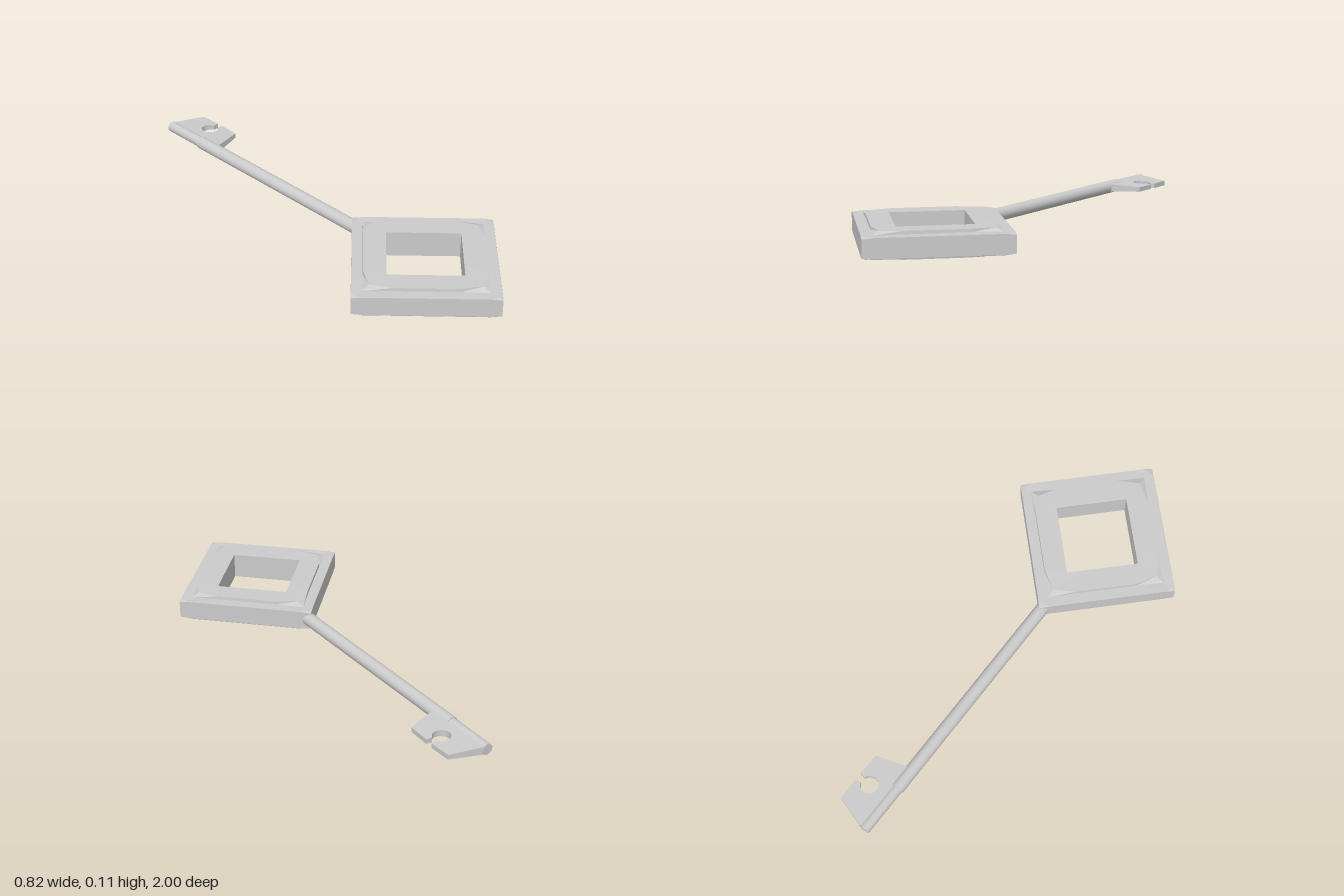
import * as THREE from 'three';

const MID = 0.055; // height of the key's centre plane

// Twelve points of a diamond with eased corners: d = easing length along the sides
function diamondLoop({ r, d, y, rc = r, yc = y }) {
  const points = [];
  for (let i = 0; i < 4; i++) {
    const a = (i * Math.PI) / 2;
    for (const [u, v, h] of [[r - d, -d, y], [rc, 0, yc], [r - d, d, y]]) {
      points.push([
        u * Math.cos(a) - v * Math.sin(a),
        h,
        u * Math.sin(a) + v * Math.cos(a),
      ]);
    }
  }
  return points;
}

// Square ring with a raised panel on both faces
function bowGeometry() {
  const top = [
    { r: 0.215, d: 0.05, y: 0.055 },
    { r: 0.345, d: 0.08, y: 0.055, rc: 0.312, yc: 0.054 },
    { r: 0.347, d: 0.08, y: 0.042, rc: 0.352, yc: 0.041 },
    { r: 0.409, d: 0.03, y: 0.042, rc: 0.39, yc: 0.041 },
    { r: 0.41, d: 0.03, y: 0.04, yc: 0.036 },
  ];
  const bottom = top.map((l) => ({ ...l, y: -l.y, yc: -(l.yc ?? l.y) })).reverse();
  const loops = [...top, ...bottom].map(diamondLoop);
  const index = [];
  const n = 12;
  for (let k = 0; k < loops.length; k++) {
    const next = (k + 1) % loops.length;
    for (let i = 0; i < n; i++) {
      const j = (i + 1) % n;
      const a = k * n + i, b = k * n + j, c = next * n + j, e = next * n + i;
      index.push(a, b, c, a, c, e);
    }
  }
  const g = new THREE.BufferGeometry();
  g.setAttribute('position', new THREE.Float32BufferAttribute(loops.flat(2), 3));
  g.setIndex(index);
  const flat = g.toNonIndexed();
  flat.computeVertexNormals();
  return flat;
}

// Flat bit with a keyhole notch, thinning toward its free edge
function bitGeometry() {
  const s = new THREE.Shape();
  s.moveTo(0, -0.998);
  s.lineTo(0.02, -0.998);
  s.lineTo(0.152, -0.957);
  s.lineTo(0.155, -0.861);
  s.lineTo(0.13, -0.858);
  s.absarc(0.095, -0.845, 0.037, -0.36, 0.36 - 2 * Math.PI, true);
  s.lineTo(0.155, -0.829);
  s.lineTo(0.152, -0.733);
  s.lineTo(0.028, -0.695);
  s.lineTo(0, -0.695);
  s.closePath();
  const g = new THREE.ExtrudeGeometry(s, { depth: 2, bevelEnabled: false, curveSegments: 24 });
  g.translate(0, 0, -1);
  g.rotateX(Math.PI / 2);
  const p = g.attributes.position;
  for (let i = 0; i < p.count; i++) {
    p.setY(i, p.getY(i) * (0.018 - 0.05 * p.getX(i)));
  }
  g.computeVertexNormals();
  return g;
}

export function createModel() {
  const group = new THREE.Group();
  const material = new THREE.MeshStandardMaterial({ color: 0xcccccc });

  const add = (name, geometry, x, y, z) => {
    const mesh = new THREE.Mesh(geometry, material);
    mesh.name = name;
    mesh.position.set(x, y, z);
    group.add(mesh);
  };
  const rod = (name, radius, z0, z1) => {
    const g = new THREE.CylinderGeometry(radius, radius, z1 - z0, 32);
    g.rotateX(Math.PI / 2);
    add(name, g, -0.002, MID + 0.002, (z0 + z1) / 2);
  };

  // Handle
  add('bow', bowGeometry(), 0, MID, 0.59);
  // Stem and its slimmer end
  rod('shaft', 0.028, -0.787, 0.24);
  rod('tip', 0.0235, -1, -0.78);
  // Toothed plate
  add('bit', bitGeometry(), 0, MID + 0.002, 0);

  return group;
}
